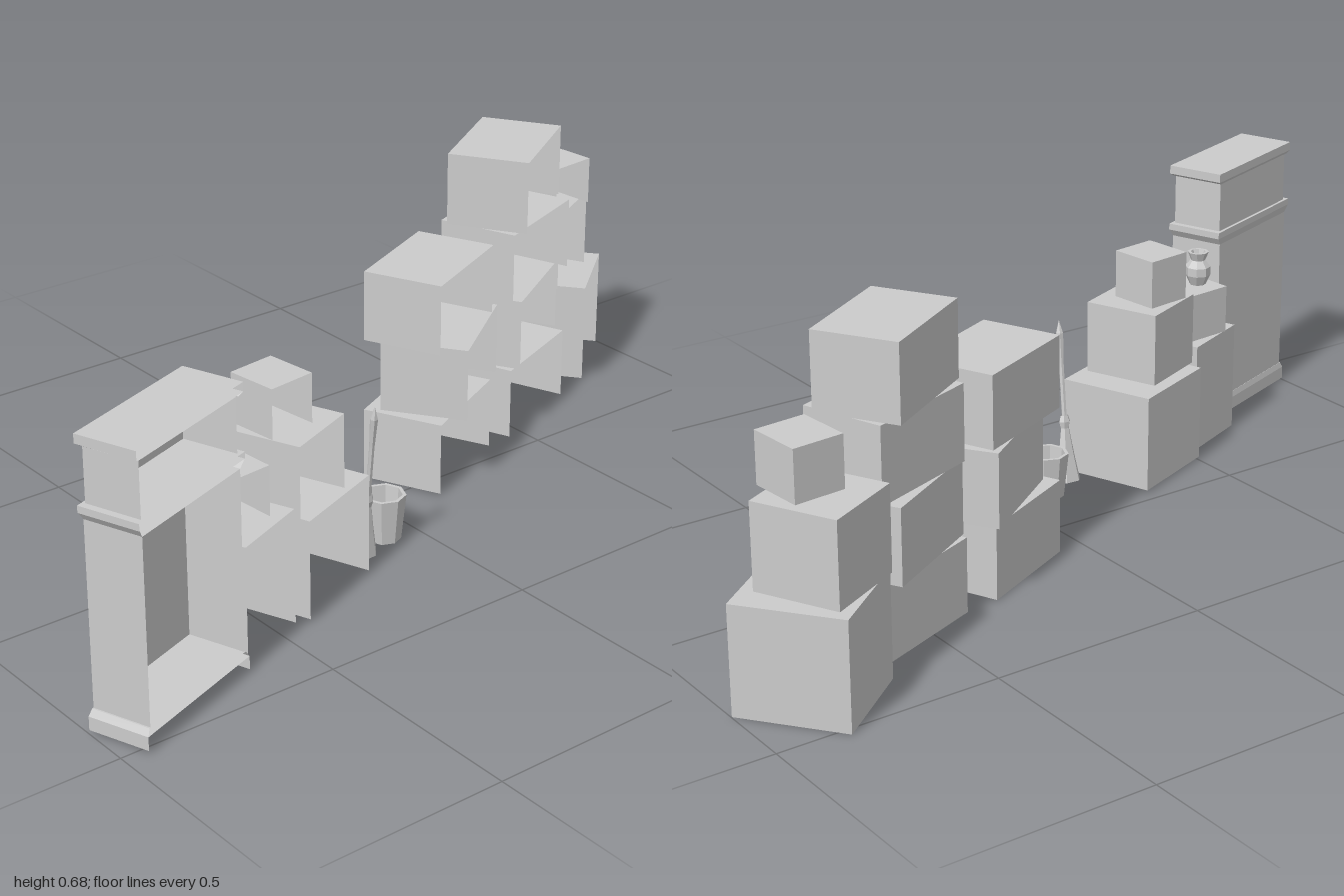
import * as THREE from 'three';

const mat = new THREE.MeshStandardMaterial({ color: 0xcccccc, flatShading: true, side: THREE.DoubleSide });

function add(parent, name, geometry, x = 0, y = 0, z = 0) {
  const mesh = new THREE.Mesh(geometry, mat);
  mesh.name = name;
  mesh.position.set(x, y, z);
  parent.add(mesh);
  return mesh;
}

// Box with no back (+x) and no bottom; its upper end may be scaled for a taper
function openBox(length, depth, height, taperL = 1, taperD = 1) {
  const g = new THREE.BoxGeometry(depth, height, length);
  const idx = Array.from(g.index.array);
  g.setIndex([...idx.slice(6, 18), ...idx.slice(24, 36)]);
  const p = g.attributes.position;
  for (let i = 0; i < p.count; i++) {
    if (p.getY(i) > 0) {
      p.setX(i, p.getX(i) * taperD);
      p.setZ(i, p.getZ(i) * taperL);
    }
  }
  return g;
}

function lathe(profile, sides = 8) {
  return new THREE.LatheGeometry(profile.map(([r, y]) => new THREE.Vector2(r, y)), sides);
}

// Crates: x, z, turn in degrees, length, depth, bottom, top
const STACKS = {
  farStack: [
    [-0.355, -0.833, 38, 0.23, 0.243, 0.004, 0.243],
    [-0.356, -0.803, 27, 0.19, 0.192, 0.243, 0.43],
    [-0.315, -0.82, 5, 0.115, 0.125, 0.43, 0.543],
  ],
  middleStack: [
    [-0.19, -0.55, 21, 0.27, 0.19, 0.006, 0.175],
    [-0.197, -0.55, 30, 0.27, 0.19, 0.175, 0.344],
    [-0.185, -0.55, 20, 0.27, 0.19, 0.344, 0.513],
    [-0.191, -0.548, 32, 0.27, 0.19, 0.513, 0.683],
  ],
  nearStack: [
    [-0.077, -0.227, 25, 0.27, 0.19, 0.006, 0.175],
    [-0.077, -0.26, 35, 0.27, 0.2, 0.175, 0.344],
    [-0.077, -0.228, 24, 0.27, 0.187, 0.344, 0.508],
  ],
  smallStack: [
    [0.18, 0.353, 21, 0.235, 0.226, 0.01, 0.235],
    [0.206, 0.393, 22, 0.176, 0.18, 0.235, 0.404],
    [0.199, 0.416, 7, 0.11, 0.118, 0.404, 0.515],
  ],
  cabinetSideStack: [
    [0.27, 0.572, 22, 0.183, 0.179, 0.01, 0.27],
    [0.257, 0.577, 5, 0.125, 0.125, 0.27, 0.383],
  ],
};

export function createModel() {
  const model = new THREE.Group();
  model.name = 'storageRow';

  for (const [name, crates] of Object.entries(STACKS)) {
    const stack = new THREE.Group();
    stack.name = name;
    model.add(stack);
    crates.forEach(([x, z, turn, l, d, y0, y1], i) => {
      const crate = add(stack, `crate${i + 1}`, openBox(l, d, y1 - y0), x, (y0 + y1) / 2, z);
      crate.rotation.y = THREE.MathUtils.degToRad(turn);
    });
  }

  // Tall cabinet with flared plinth, ledge and cornice
  const cabinet = new THREE.Group();
  cabinet.name = 'cabinet';
  cabinet.position.set(0.398, 0, 0.815);
  cabinet.rotation.y = THREE.MathUtils.degToRad(20);
  model.add(cabinet);
  const layers = [
    ['plinth', 0.01, 0.04, 0.338, 0.138, 1, 1],
    ['plinthBevel', 0.04, 0.054, 0.338, 0.138, 0.95, 0.96],
    ['body', 0.054, 0.455, 0.314, 0.131, 1, 1],
    ['ledgeFlare', 0.455, 0.472, 0.314, 0.131, 1.07, 1.05],
    ['ledge', 0.472, 0.487, 0.338, 0.138, 1, 1],
    ['upperBody', 0.487, 0.605, 0.308, 0.124, 1, 1],
    ['corniceFlare', 0.605, 0.612, 0.316, 0.13, 1.07, 1.06],
    ['cornice', 0.612, 0.632, 0.338, 0.138, 1, 1],
  ];
  for (const [name, y0, y1, l, d, tl, td] of layers) {
    add(cabinet, name, openBox(l, d, y1 - y0, tl, td), 0, (y0 + y1) / 2, 0);
  }

  // Vase on the crate beside the cabinet
  add(model, 'vase', lathe([[0, 0], [0.019, 0], [0.03, 0.024], [0.03, 0.044],
    [0.017, 0.06], [0.025, 0.08], [0.018, 0.08], [0.012, 0.06]]), 0.256, 0.383, 0.602);

  // Bucket with an inner wall and floor
  add(model, 'bucket', lathe([[0, 0], [0.038, 0], [0.049, 0.105], [0.041, 0.105],
    [0.034, 0.02], [0, 0.02]]), 0.148, 0.01, 0.085);

  // Leaning broom: bristles, binding and handle in one turned shape
  const foot = new THREE.Vector3(0.182, 0.012, 0.168);
  const tip = new THREE.Vector3(0.24, 0.385, 0.184);
  const axis = tip.clone().sub(foot);
  const len = axis.length();
  const broom = new THREE.Group();
  broom.name = 'broom';
  broom.position.copy(foot);
  broom.quaternion.setFromUnitVectors(new THREE.Vector3(0, 1, 0), axis.normalize());
  model.add(broom);
  const bristles = add(broom, 'bristles', lathe([[0, 0], [0.034, 0], [0.022, 0.06],
    [0.011, 0.125], [0.015, 0.14], [0.01, 0.155]], 6));
  bristles.scale.x = 0.7;
  add(broom, 'handle', lathe([[0.006, 0.14], [0.006, len - 0.1], [0.009, len - 0.03], [0, len]], 6));

  return model;
}
